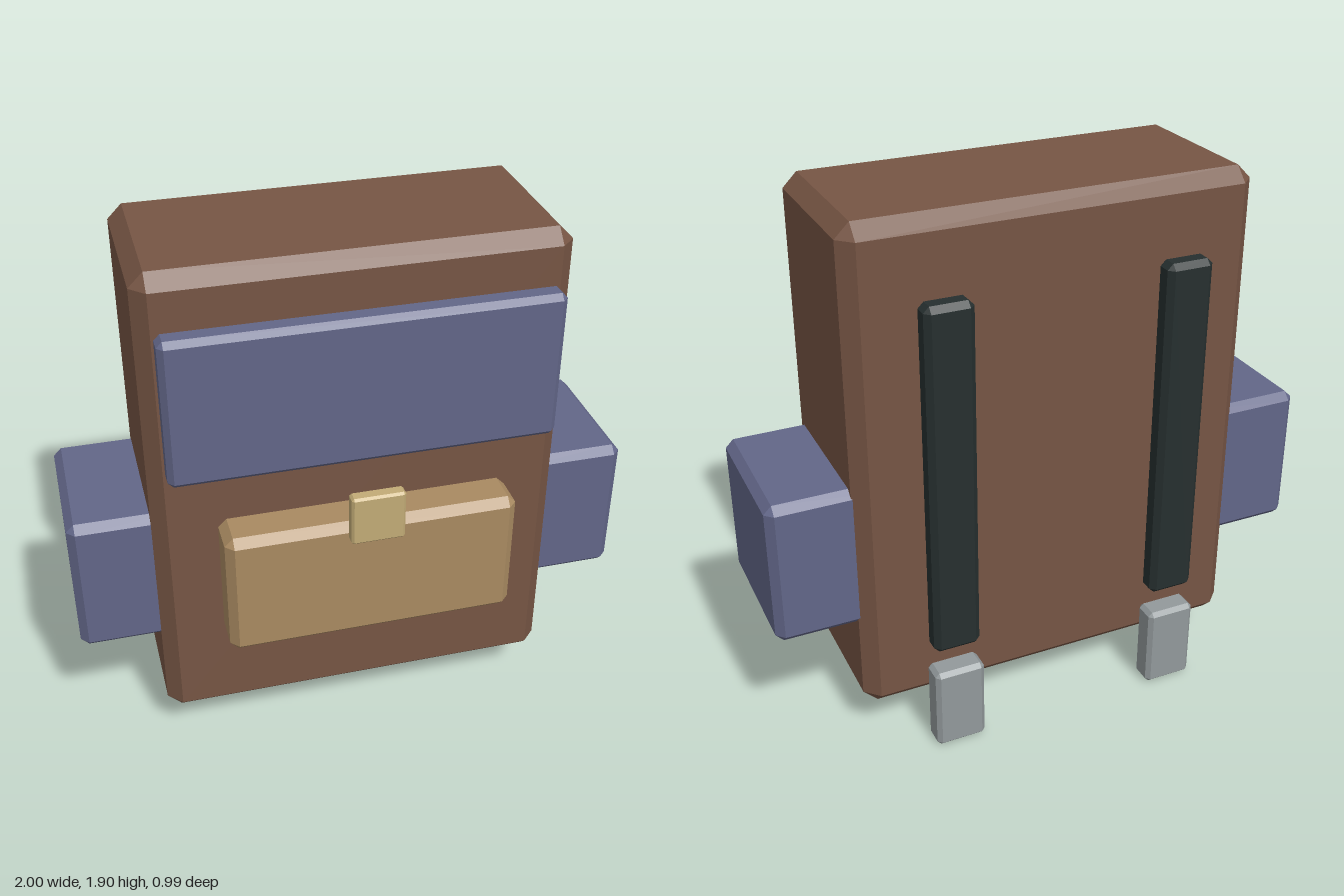
import * as THREE from 'three';
import { ConvexGeometry } from 'three/addons/geometries/ConvexGeometry.js';

const material = (name, color) => {
  const m = new THREE.MeshStandardMaterial({ color });
  m.name = name;
  return m;
};

// Box with every edge chamfered by c, given as [min, max] ranges
function chamferBox(name, mat, [x0, x1], [y0, y1], [z0, z1], c) {
  const half = new THREE.Vector3(x1 - x0, y1 - y0, z1 - z0).multiplyScalar(0.5);
  const points = [];
  for (const sx of [-1, 1]) for (const sy of [-1, 1]) for (const sz of [-1, 1]) {
    for (let axis = 0; axis < 3; axis++) {
      // each corner becomes three points, one on each adjoining face
      const inset = [c, c, c];
      inset[axis] = 0;
      points.push(new THREE.Vector3(
        sx * (half.x - inset[0]), sy * (half.y - inset[1]), sz * (half.z - inset[2])));
    }
  }
  const mesh = new THREE.Mesh(new ConvexGeometry(points), mat);
  mesh.name = name;
  mesh.position.set((x0 + x1) / 2, (y0 + y1) / 2, (z0 + z1) / 2);
  return mesh;
}

export function createModel() {
  const brown = material('brown canvas', 0x765544);
  const blue = material('slate blue cloth', 0x626688);
  const tan = material('tan leather', 0xa98a61);
  const brass = material('pale brass', 0xc2ab76);
  const black = material('dark webbing', 0x262f2f);
  const grey = material('grey metal', 0x92999b);

  const model = new THREE.Group();
  model.name = 'backpack';

  // Main bag, flap and front pocket with its clasp
  model.add(
    chamferBox('body', brown, [-0.718, 0.718], [0.14, 1.905], [-0.372, 0.262], 0.05),
    chamferBox('flap', blue, [-0.662, 0.662], [1.2, 1.73], [0.267, 0.358], 0.02),
    chamferBox('frontPocket', tan, [-0.505, 0.505], [0.555, 1.027], [0.284, 0.455], 0.029),
    chamferBox('clasp', brass, [-0.092, 0.092], [0.975, 1.157], [0.447, 0.496], 0.008),
  );

  // Mirrored side pockets, back straps and strap ends
  for (const [side, s] of [['left', 1], ['right', -1]]) {
    const span = (a, b) => (s > 0 ? [a, b] : [-b, -a]);
    model.add(
      chamferBox(side + 'SidePocket', blue, span(0.55, 1), [0.478, 1.002], [-0.327, 0.212], 0.028),
      chamferBox(side + 'Strap', black, span(0.335, 0.502), [0.388, 1.658], [-0.483, -0.399], 0.02),
      chamferBox(side + 'StrapEnd', grey, span(0.328, 0.508), [0, 0.31], [-0.497, -0.403], 0.015),
    );
  }
  return model;
}
